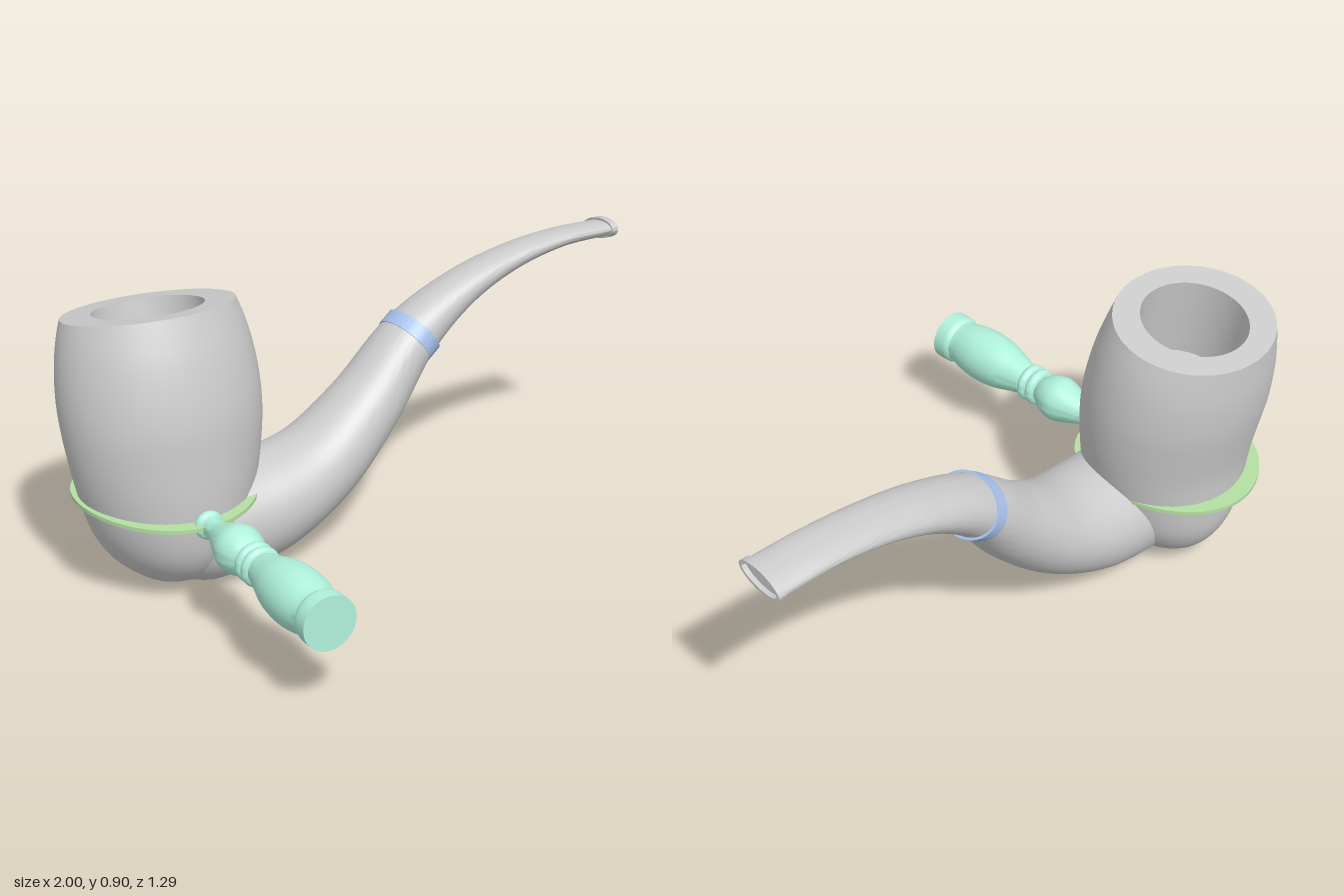
import * as THREE from 'three';
import { toCreasedNormals } from 'three/addons/utils/BufferGeometryUtils.js';

const SIDES = 64;
const V = (x, y, z) => new THREE.Vector3(x, y, z);

// Skin over elliptical rings { c: centre, u, v: half axes }, u x v pointing along the loft
function loft(rings, crease = 0.7) {
  const pos = [], index = [];
  rings.forEach(({ c, u, v }, i) => {
    for (let j = 0; j < SIDES; j++) {
      const a = (j / SIDES) * Math.PI * 2;
      const p = c.clone().addScaledVector(u, Math.cos(a)).addScaledVector(v, Math.sin(a));
      pos.push(p.x, p.y, p.z);
      if (i === 0) continue;
      const k = (j + 1) % SIDES, lo = (i - 1) * SIDES, hi = i * SIDES;
      index.push(lo + j, lo + k, hi + j, lo + k, hi + k, hi + j);
    }
  });
  const g = new THREE.BufferGeometry();
  g.setAttribute('position', new THREE.Float32BufferAttribute(pos, 3));
  g.setIndex(index);
  return toCreasedNormals(g, crease);
}

function addMesh(parent, name, geometry, color = 0xcccccc) {
  const mesh = new THREE.Mesh(geometry, new THREE.MeshStandardMaterial({ color }));
  mesh.name = name;
  parent.add(mesh);
  return mesh;
}

// Horizontal ring: height, half widths in x and z, z offset
const flatRing = (x, [y, rx, rz, oz = 0]) => ({ c: V(x, y, oz), u: V(0, 0, rz), v: V(rx, 0, 0) });

export function createModel() {
  const model = new THREE.Group();
  model.name = 'pipeWithTamper';

  // The pipe lies in one plane that leans backwards
  const pipe = new THREE.Group();
  pipe.name = 'pipe';
  pipe.rotation.x = -0.181;
  pipe.position.z = -0.253;
  model.add(pipe);

  // Bowl: rounded outside, flat rim and tobacco chamber
  const outerRows = [
    [0.022, 0.001, 0.001, -0.05], [0.028, 0.07, 0.09, -0.05], [0.06, 0.125, 0.16, -0.048],
    [0.12, 0.19, 0.215, -0.045], [0.2, 0.238, 0.245, -0.04], [0.3, 0.27, 0.255, -0.025],
    [0.42, 0.296, 0.258, -0.008], [0.53, 0.31, 0.266, 0], [0.63, 0.313, 0.268, 0],
    [0.74, 0.303, 0.26, 0], [0.82, 0.286, 0.247, 0], [0.875, 0.268, 0.237, 0],
  ];
  const shape = new THREE.CatmullRomCurve3(outerRows.map(([y, rx, rz]) => V(y, rx, rz)));
  const shift = new THREE.CatmullRomCurve3(outerRows.map(([y, , , oz]) => V(y, oz, 0)));
  const bowlRows = [];
  for (let i = 0; i <= 44; i++) {
    const s = shape.getPoint(i / 44);
    bowlRows.push([s.x, s.y, s.z, shift.getPoint(i / 44).y]);
  }
  bowlRows.push([0.875, 0.171, 0.165], [0.6, 0.171, 0.16], [0.6, 0.001, 0.001]);
  addMesh(pipe, 'bowl', loft(bowlRows.map((r) => flatRing(-0.687, r))));

  // Shank and stem: x, y, half thickness, half width
  const stemRows = [
    [-0.84, 0.19, 0.002, 0.002], [-0.8, 0.188, 0.09, 0.1], [-0.72, 0.186, 0.15, 0.16],
    [-0.6, 0.192, 0.188, 0.19], [-0.4, 0.205, 0.172, 0.19], [-0.2, 0.275, 0.142, 0.165],
    [0, 0.422, 0.117, 0.134], [0.2, 0.615, 0.089, 0.108], [0.4, 0.732, 0.06, 0.092],
    [0.6, 0.799, 0.042, 0.081], [0.8, 0.831, 0.031, 0.077], [0.98, 0.834, 0.027, 0.078],
  ];
  const path = new THREE.CatmullRomCurve3(stemRows.map(([x, y]) => V(x, y, 0)));
  const size = new THREE.CatmullRomCurve3(stemRows.map(([, , h, w]) => V(h, w, 0)));
  const stemRing = (t, grow = 0, along = 0) => {
    const d = path.getTangent(t), s = size.getPoint(t);
    return {
      c: path.getPoint(t).addScaledVector(d, along),
      u: V(-d.y, d.x, 0).multiplyScalar(s.x + grow),
      v: V(0, 0, s.y + grow),
    };
  };
  const stemRings = [];
  for (let i = 0; i <= 88; i++) stemRings.push(stemRing(i / 88));
  addMesh(pipe, 'shankAndStem', loft(stemRings));

  // Band around the joint
  const bandRings = [[-0.02, -0.025], [0.005, -0.025], [0.005, 0.025], [-0.02, 0.025]];
  addMesh(pipe, 'stemBand', loft(bandRings.map(([g, a]) => stemRing(7 / 11, g, a))), 0xa9c4ee);

  // Mouthpiece lip with a shallow recess: x, half thickness, half width
  const lipRows = [
    [0.975, 0.02, 0.07], [0.975, 0.035, 0.082], [1, 0.035, 0.082],
    [1, 0.025, 0.071], [0.985, 0.025, 0.071], [0.985, 0.001, 0.001],
  ];
  addMesh(pipe, 'mouthpieceLip', loft(lipRows.map(([x, h, w]) => (
    { c: V(x, 0.834, 0), u: V(0, h, 0), v: V(0, 0, w) }))));

  // Small nub low on the bowl
  const nub = addMesh(pipe, 'nub', new THREE.SphereGeometry(0.04, 24, 16));
  nub.scale.set(0.8, 0.8, 1.1);
  nub.position.set(-0.868, 0.165, -0.06);

  // Thin collar round the bowl, gently raised at both sides
  const collarRows = [
    [0.282, 0.2, 0.21], [0.282, 0.282, 0.302], [0.294, 0.282, 0.302], [0.294, 0.2, 0.21],
  ];
  const collarGeo = loft(collarRows.map((r) => flatRing(0, r)));
  const p = collarGeo.attributes.position;
  for (let i = 0; i < p.count; i++) p.setY(i, p.getY(i) + 0.3 * p.getX(i) ** 2);
  const collar = addMesh(model, 'collar', collarGeo, 0xb4e0a2);
  collar.position.set(-0.697, 0, -0.338);

  // Turned handle: [radius, z]
  const turned = (pts) => new THREE.SplineCurve(pts.map(([r, z]) => new THREE.Vector2(r, z))).getPoints(24);
  const bead = (r, z, h) => [0, 1, 2, 3, 4, 5, 6, 7, 8].map((i) => {
    const a = (i / 8 - 0.5) * Math.PI;
    return new THREE.Vector2(r - h + h * Math.cos(a), z + h * Math.sin(a));
  });
  const profile = [
    new THREE.Vector2(0, -0.085),
    ...bead(0.045, -0.066, 0.017),
    ...turned([[0.032, -0.045], [0.036, 0], [0.054, 0.05], [0.073, 0.105], [0.074, 0.14], [0.062, 0.175], [0.046, 0.2]]),
    ...bead(0.063, 0.219, 0.017),
    ...bead(0.063, 0.255, 0.017),
    ...turned([[0.052, 0.275], [0.064, 0.32], [0.083, 0.39], [0.09, 0.46], [0.086, 0.52], [0.073, 0.58]]),
    ...turned([[0.074, 0.585], [0.082, 0.6], [0.083, 0.645]]),
    new THREE.Vector2(0, 0.645),
  ];
  const handle = addMesh(model, 'turnedHandle',
    toCreasedNormals(new THREE.LatheGeometry(profile, 48), 0.6), 0xb0f2dc);
  handle.rotation.x = Math.PI / 2;
  handle.position.set(-0.687, 0.284, 0);

  return model;
}
